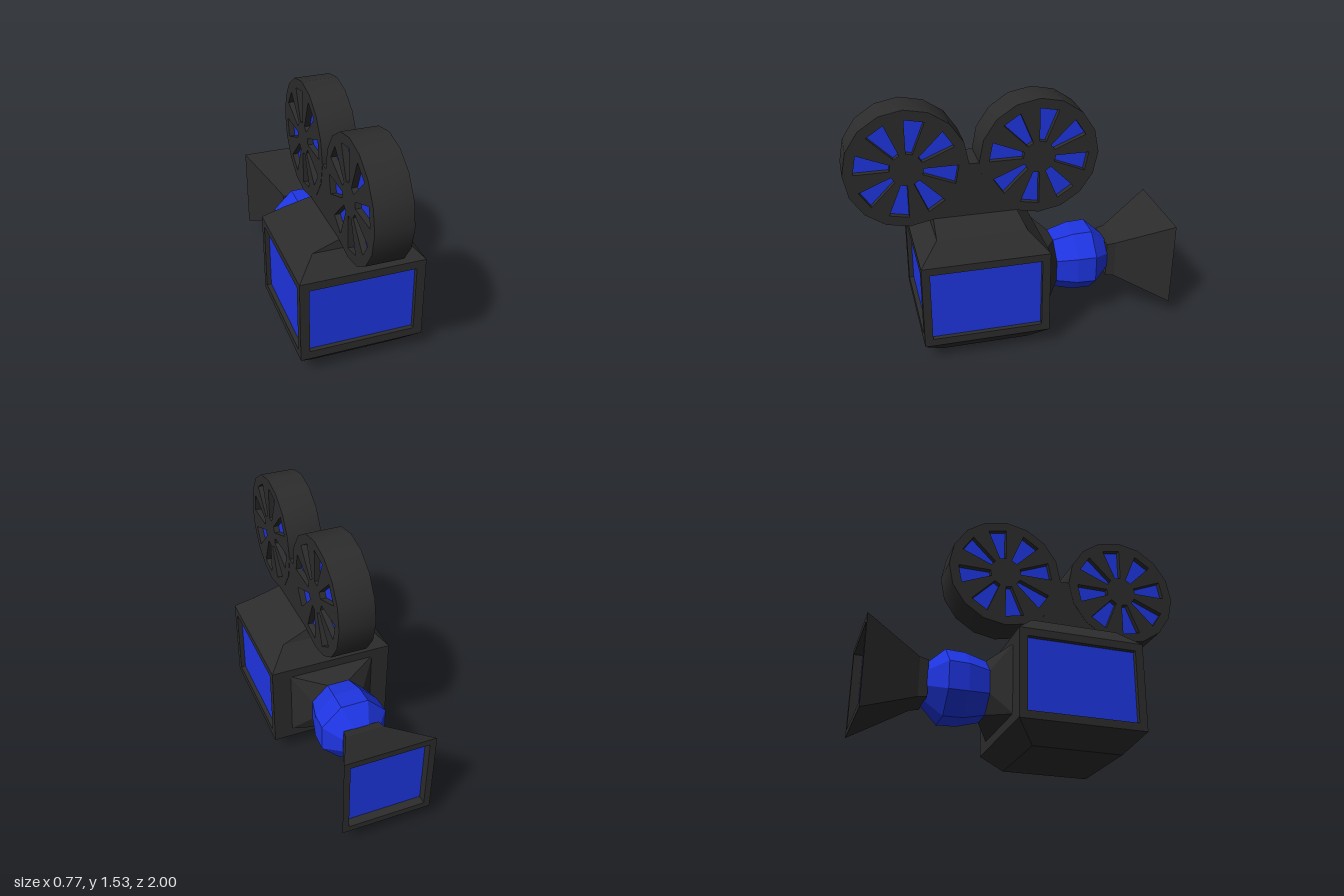
import * as THREE from 'three';
import { toCreasedNormals } from 'three/addons/utils/BufferGeometryUtils.js';

const dark = new THREE.MeshStandardMaterial({ color: 0x2c2c2c });
dark.name = 'charcoal';
const blue = new THREE.MeshStandardMaterial({ color: 0x1e35e2 });
blue.name = 'blue';

const MID_Y = 0.39;   // height of the lens axis and window centres
const BODY_Z = 0.2325; // body centre
const HALF_W = 0.387; // half width of the body
const RECESS = 0.03;

function add(parent, name, geometry, material, x = 0, y = 0, z = 0) {
  const mesh = new THREE.Mesh(geometry, material);
  mesh.name = name;
  mesh.position.set(x, y, z);
  parent.add(mesh);
  return mesh;
}

// Faceted skin through cross-sections that run counter-clockwise seen from the end
function loft(rings, capStart = true, capEnd = true) {
  const pos = [];
  const tri = (a, b, c) => pos.push(...a, ...b, ...c);
  for (let r = 0; r < rings.length - 1; r++) {
    const A = rings[r], B = rings[r + 1], n = A.length;
    for (let i = 0; i < n; i++) {
      const j = (i + 1) % n;
      tri(A[i], A[j], B[j]);
      tri(A[i], B[j], B[i]);
    }
  }
  const first = rings[0], last = rings[rings.length - 1];
  for (let i = 1; i < first.length - 1; i++) {
    if (capStart) tri(first[0], first[i + 1], first[i]);
    if (capEnd) tri(last[0], last[i], last[i + 1]);
  }
  const g = new THREE.BufferGeometry();
  g.setAttribute('position', new THREE.Float32BufferAttribute(pos, 3));
  g.computeVertexNormals();
  return g;
}

// Horizontal rectangle for lofts going up
const slab = (y, hx, front, back) =>
  [[hx, y, front], [hx, y, back], [-hx, y, back], [-hx, y, front]];

// Upright sections for lofts going backwards
const octAngles = [...Array(8).keys()].map(k => Math.PI / 8 + k * Math.PI / 4);
const octagon = (z, apothem) => octAngles.map(a => {
  const r = apothem / Math.cos(Math.PI / 8);
  return [-Math.cos(a) * r, MID_Y + Math.sin(a) * r, z];
});
const octRect = (z, hx, hy) => octAngles.map(a =>
  [-Math.sign(Math.cos(a)) * hx, MID_Y + Math.sign(Math.sin(a)) * hy, z]);
const square = (z, h) => [[-1, 1], [1, 1], [1, -1], [-1, -1]]
  .map(([x, y]) => [x * h, MID_Y + y * h, z]);

function rect(path, w, h) {
  path.moveTo(-w / 2, -h / 2);
  path.lineTo(w / 2, -h / 2);
  path.lineTo(w / 2, h / 2);
  path.lineTo(-w / 2, h / 2);
  path.closePath();
  return path;
}

// Wall with a window opening and a blue pane set back inside it, facing +z
function windowWall(name, w, h, holeW, holeH) {
  const g = new THREE.Group();
  g.name = name;
  const shape = rect(new THREE.Shape(), w, h);
  shape.holes.push(rect(new THREE.Path(), holeW, holeH));
  const frame = new THREE.ExtrudeGeometry(shape, { depth: RECESS, bevelEnabled: false });
  add(g, 'windowFrame', frame, dark, 0, 0, -RECESS);
  add(g, 'windowPane', new THREE.BoxGeometry(holeW + 0.02, holeH + 0.02, 0.006), blue, 0, 0, -RECESS - 0.002);
  return g;
}

function createBody() {
  const body = new THREE.Group();
  body.name = 'body';
  add(body, 'lowerBevel', loft([slab(0, 0.272, 0.505, -0.04), slab(0.115, HALF_W, 0.62, -0.155)]), dark);
  add(body, 'roof', loft([
    slab(0.66, HALF_W, 0.62, -0.155),
    slab(0.775, 0.272, 0.505, -0.04),
    slab(0.83, 0.11, 0.497, -0.015),
  ]), dark);
  add(body, 'backWall', new THREE.BoxGeometry(HALF_W * 2, 0.545, 0.03), dark, 0, 0.3875, -0.14);

  const front = windowWall('frontWindow', HALF_W * 2, 0.545, 0.66, 0.438);
  front.position.set(0, 0.3875, 0.62);
  body.add(front);
  for (const s of [1, -1]) {
    const side = windowWall(s > 0 ? 'leftWindow' : 'rightWindow', 0.775, 0.545, 0.675, 0.45);
    side.rotation.y = s * Math.PI / 2;
    side.position.set(HALF_W * s, 0.3875, BODY_Z);
    body.add(side);
  }
  return body;
}

function createLens() {
  const lens = new THREE.Group();
  lens.name = 'lens';
  add(lens, 'lensNeck', loft([octRect(-0.15, 0.275, 0.218), octagon(-0.26, 0.17)]), dark);
  add(lens, 'lensBulb', loft([
    octagon(-0.26, 0.17), octagon(-0.39, 0.203), octagon(-0.51, 0.207), octagon(-0.615, 0.115),
  ]), blue);
  // Flared hood, folding in at the rim to form a recess
  add(lens, 'lensHood', loft([
    square(-0.61, 0.113), square(-0.665, 0.122), square(-1, 0.277),
    square(-1, 0.238), square(-0.945, 0.238),
  ], true, false), dark);
  add(lens, 'lensGlass', new THREE.BoxGeometry(0.476, 0.476, 0.006), blue, 0, MID_Y, -0.944);
  return lens;
}

// Sixteen-sided reel with eight wedge openings on a blue core
function createReel(name, z) {
  const reel = new THREE.Group();
  reel.name = name;
  const point = (r, k) => new THREE.Vector2(
    r * Math.cos(k * Math.PI / 8), r * Math.sin(k * Math.PI / 8));
  const shape = new THREE.Shape([...Array(16).keys()].map(k => point(0.365, k)));
  for (let k = 1; k < 16; k += 2) {
    shape.holes.push(new THREE.Path([
      point(0.1, k), point(0.305, k), point(0.305, k + 1), point(0.1, k + 1),
    ]));
  }
  const rim = new THREE.ExtrudeGeometry(shape, { depth: 0.22, bevelEnabled: false });
  rim.translate(0, 0, -0.11).rotateY(Math.PI / 2);
  add(reel, 'reelRim', toCreasedNormals(rim, 0.6), dark);
  const core = new THREE.CylinderGeometry(0.33, 0.33, 0.15, 16);
  core.rotateZ(Math.PI / 2);
  add(reel, 'reelCore', core, blue);
  reel.position.set(0, 1.165, z);
  return reel;
}

// Curved web filling the gap between the reels
function createSupport() {
  const half = [[0.25, 0.82], [0.24, 0.845], [0.15, 0.92], [0.085, 1.03], [0.04, 1.165]];
  const outline = [...half, ...half.map(([x, y]) => [-x, y]).reverse()];
  const shape = new THREE.Shape(outline.map(([x, y]) => new THREE.Vector2(x, y)));
  const g = new THREE.ExtrudeGeometry(shape, { depth: 0.216, bevelEnabled: false });
  return g.translate(0, 0, -0.108).rotateY(Math.PI / 2);
}

export function createModel() {
  const model = new THREE.Group();
  model.name = 'filmCamera';
  model.add(createBody(), createLens());
  model.add(createReel('frontReel', 0.636), createReel('rearReel', -0.152));
  add(model, 'reelSupport', createSupport(), dark, 0, 0, 0.242);
  return model;
}
